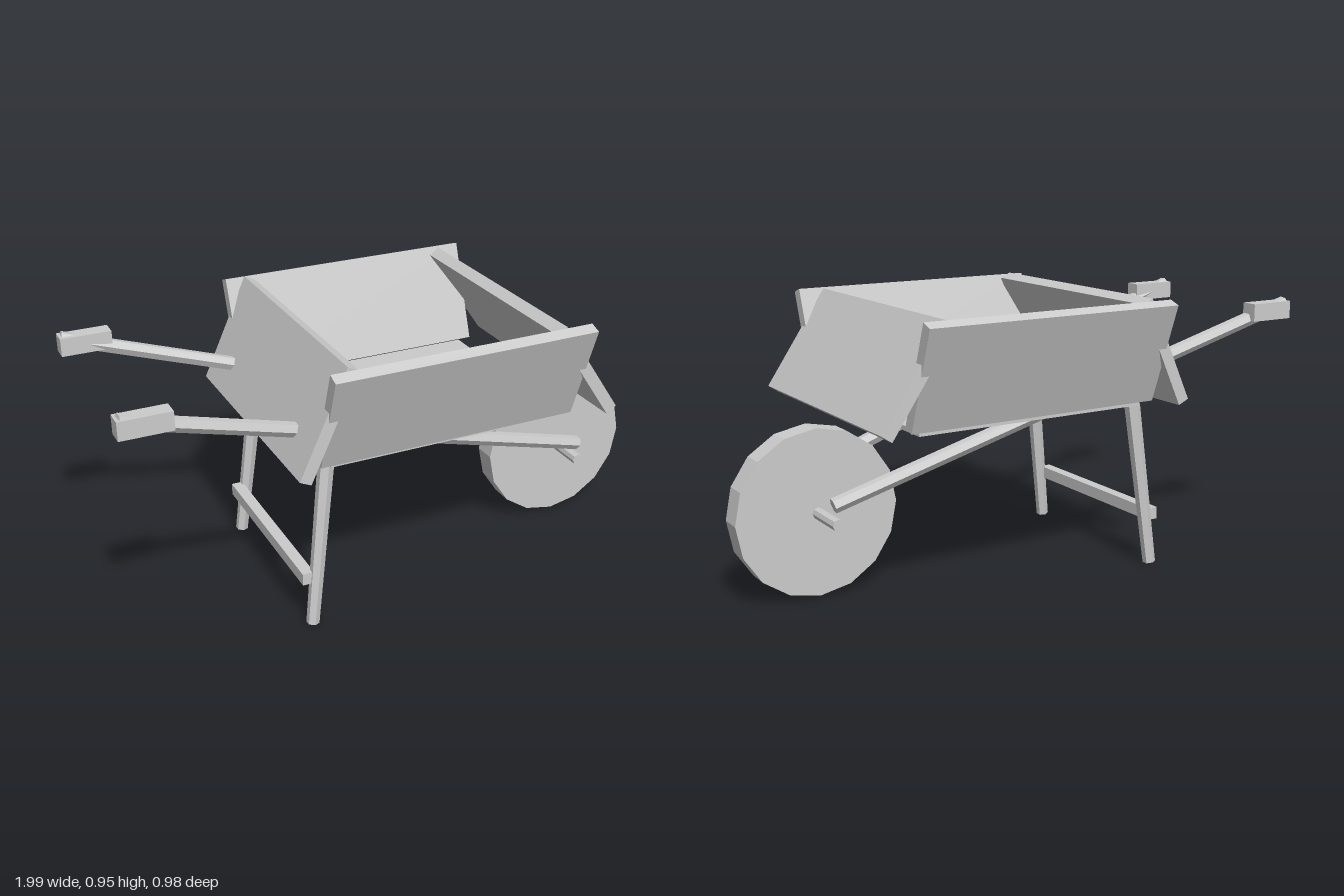
import * as THREE from 'three';

const material = new THREE.MeshStandardMaterial({ color: 0xcccccc, flatShading: true });

export function createModel() {
  const model = new THREE.Group();
  model.name = 'wheelbarrow';

  function add(name, geometry, x = 0, y = 0, z = 0) {
    const mesh = new THREE.Mesh(geometry, material);
    mesh.name = name;
    mesh.position.set(x, y, z);
    model.add(mesh);
    return mesh;
  }

  const box = (name, w, h, d, x, y, z) => add(name, new THREE.BoxGeometry(w, h, d), x, y, z);

  // Six-sided pole running between two points
  function pole(name, from, to, rFrom, rTo) {
    const a = new THREE.Vector3(...from);
    const b = new THREE.Vector3(...to);
    const dir = b.clone().sub(a);
    const mid = a.clone().add(b).multiplyScalar(0.5);
    const mesh = add(name, new THREE.CylinderGeometry(rTo, rFrom, dir.length(), 6), mid.x, mid.y, mid.z);
    mesh.quaternion.setFromUnitVectors(new THREE.Vector3(0, 1, 0), dir.normalize());
  }

  // Tray: floor and two end boards leaning inward at the top
  box('trayFloor', 0.845, 0.016, 0.7, 0.0875, 0.583, 0);
  box('trayFrontBoard', 0.042, 0.392, 0.87, 0.5526, 0.766, 0).rotation.z = 0.595;
  box('trayBackBoard', 0.042, 0.388, 0.87, -0.374, 0.764, 0).rotation.z = -0.436;

  // Wheel and axle
  add('wheel', new THREE.CylinderGeometry(0.28, 0.28, 0.082, 16), 0.715, 0.285, 0).rotation.x = Math.PI / 2;
  add('axle', new THREE.CylinderGeometry(0.02, 0.02, 0.39, 8), 0.715, 0.285, 0).rotation.x = Math.PI / 2;

  // Mirrored parts: flared side boards, shafts with grips, splayed legs
  for (const [side, s] of [['left', 1], ['right', -1]]) {
    box(side + 'SideBoard', 0.92, 0.36, 0.042, 0.085, 0.766, s * 0.4085).rotation.x = s * 0.349;
    pole(side + 'Shaft', [0.72, 0.343, s * 0.17], [-0.99, 0.874, s * 0.339], 0.025, 0.025);
    box(side + 'Grip', 0.17, 0.062, 0.058, -0.912, 0.852, s * 0.335);
    pole(side + 'Leg', [-0.405, 0.002, s * 0.337], [-0.335, 0.57, s * 0.31], 0.022, 0.027);
  }

  // Brace between the legs
  box('legBrace', 0.04, 0.042, 0.67, -0.415, 0.175, 0);

  return model;
}
